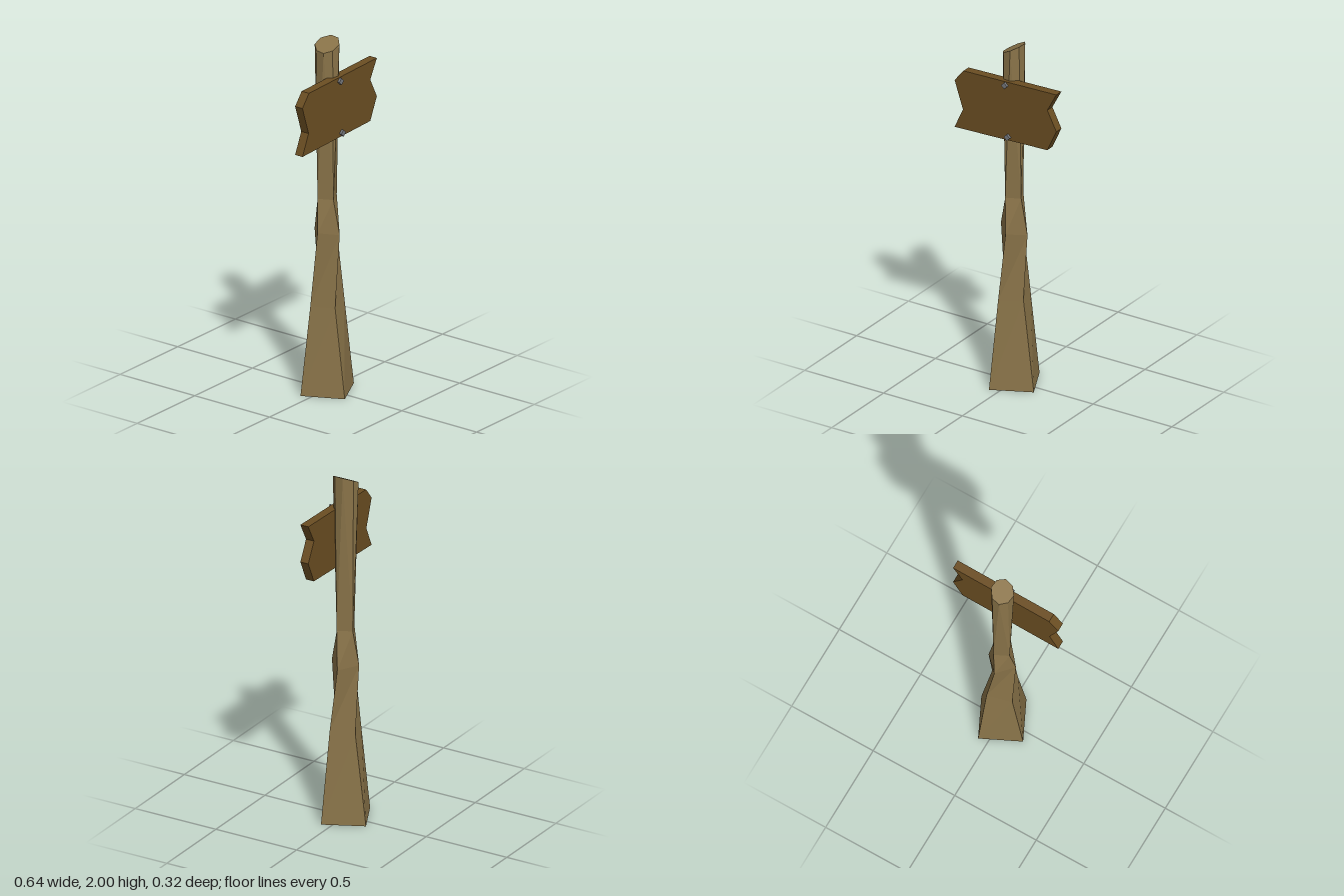
import * as THREE from 'three';

const postWood = new THREE.MeshStandardMaterial({ color: 0x8a7449 });
postWood.name = 'post wood';
const boardWood = new THREE.MeshStandardMaterial({ color: 0x6b4e22 });
boardWood.name = 'board wood';
const boltMetal = new THREE.MeshStandardMaterial({ color: 0x74767a });
boltMetal.name = 'bolt metal';

// Four corners of a turned square: front, left, back, right; the height tilts with x
function squareRing(a, b, y, tilt = 0) {
  return [[-a, b], [b, a], [a, -b], [-b, -a]].map(([x, z]) => [x, y + tilt * x, z]);
}

function createPost() {
  // Twisting square sections from the foot up to the neck
  const rings = [
    squareRing(0.055, 0.16, 0),
    squareRing(0.045, 0.088, 0.505, 0.17),
    squareRing(0, 0.084, 0.9, -0.2),
    squareRing(0.02, 0.057, 1.1),
  ];
  // Slanted eight-sided top
  const top = [
    [-0.03, 0.06], [0.018, 0.068], [0.053, 0.034], [0.058, -0.018],
    [0.025, -0.064], [-0.02, -0.068], [-0.053, -0.03], [-0.059, 0.021],
  ].map(([x, z]) => [x, 1.97 + 0.52 * x, z]);

  const points = [];
  const tri = (...corners) => corners.forEach((c) => points.push(...c));

  for (let r = 0; r < rings.length - 1; r++) {
    for (let i = 0; i < 4; i++) {
      const j = (i + 1) % 4;
      tri(rings[r][i], rings[r][j], rings[r + 1][j]);
      tri(rings[r][i], rings[r + 1][j], rings[r + 1][i]);
    }
  }
  // Square neck opening into the eight-sided top
  const neck = rings[3];
  for (let i = 0; i < 4; i++) {
    const j = (i + 1) % 4;
    const mid = top[2 * i + 1];
    tri(neck[i], neck[j], mid);
    tri(neck[i], mid, top[2 * i]);
    tri(neck[j], top[2 * j], mid);
  }
  // Caps
  for (let i = 1; i < 7; i++) tri(top[0], top[i], top[i + 1]);
  const foot = rings[0];
  tri(foot[0], foot[2], foot[1]);
  tri(foot[0], foot[3], foot[2]);

  const geometry = new THREE.BufferGeometry();
  geometry.setAttribute('position', new THREE.Float32BufferAttribute(points, 3));
  geometry.computeVertexNormals();
  const post = new THREE.Mesh(geometry, postWood);
  post.name = 'post';
  return post;
}

function createBoard() {
  // Plank with broken, notched ends
  const outline = [
    [-0.323, 1.448], [0.265, 1.468], [0.322, 1.592], [0.265, 1.703],
    [0.322, 1.809], [-0.267, 1.793], [-0.323, 1.724], [-0.27, 1.565],
  ].map(([x, y]) => new THREE.Vector2(x, y));
  const geometry = new THREE.ExtrudeGeometry(new THREE.Shape(outline), { depth: 0.049, bevelEnabled: false });
  geometry.translate(0, 0, 0.035);
  const board = new THREE.Mesh(geometry, boardWood);
  board.name = 'signBoard';
  return board;
}

function createBolt(name, x, y) {
  // Four-sided bolt head standing on its corner
  const geometry = new THREE.CylinderGeometry(0.019, 0.019, 0.022, 4).toNonIndexed();
  geometry.rotateX(Math.PI / 2);
  geometry.computeVertexNormals();
  const bolt = new THREE.Mesh(geometry, boltMetal);
  bolt.name = name;
  bolt.position.set(x, y, 0.087);
  return bolt;
}

export function createModel() {
  const group = new THREE.Group();
  group.name = 'signpost';
  group.add(
    createPost(),
    createBoard(),
    createBolt('upperBolt', -0.001, 1.78),
    createBolt('lowerBolt', 0.016, 1.48),
  );
  return group;
}
